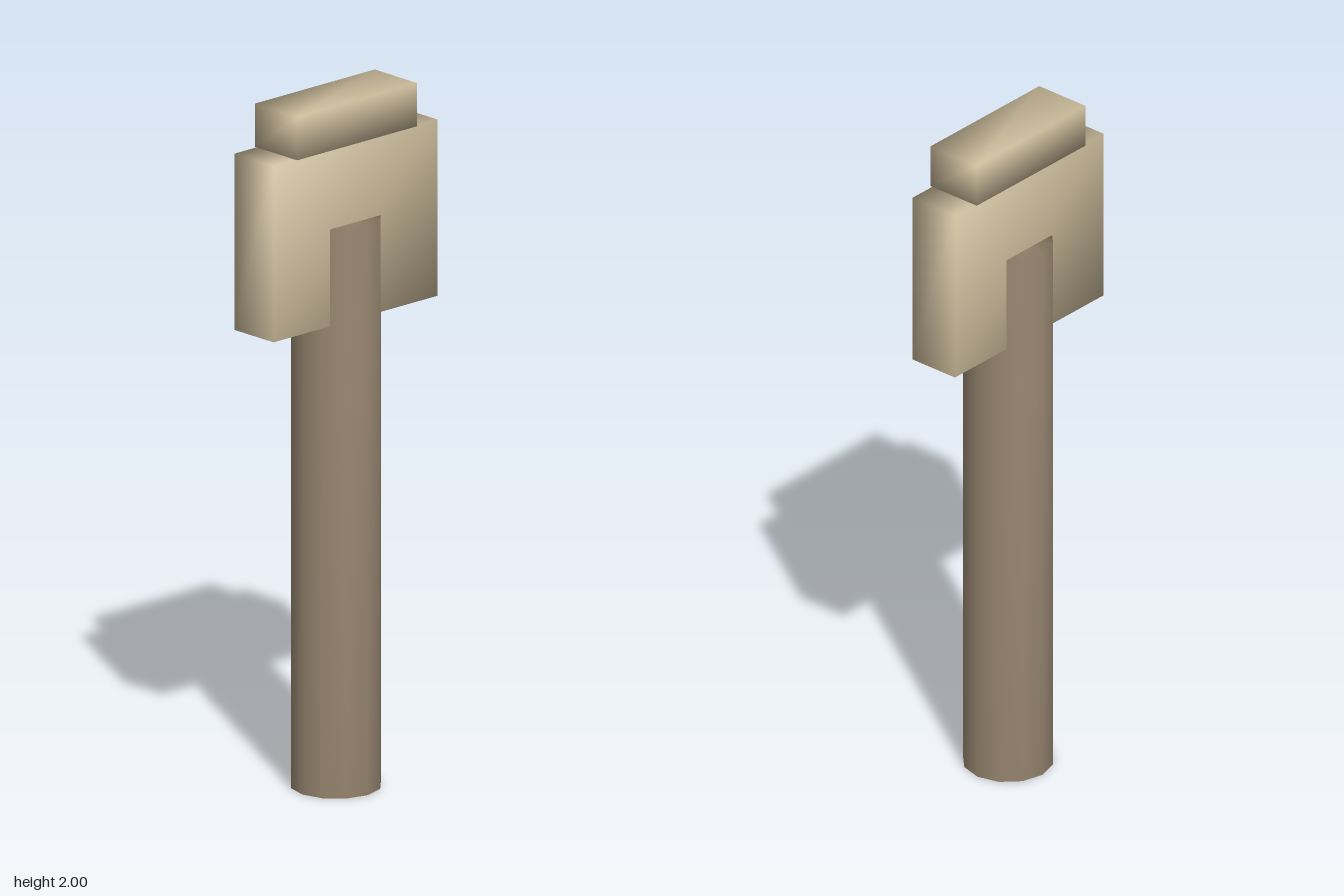
import * as THREE from 'three';
import { mergeVertices } from 'three/addons/utils/BufferGeometryUtils.js';

// Share corner vertices so shading blends softly across the edges.
function soften(geometry) {
  geometry.deleteAttribute('normal');
  geometry.deleteAttribute('uv');
  geometry.clearGroups();
  const merged = mergeVertices(geometry, 1e-4);
  merged.computeVertexNormals();
  return merged;
}

export function createModel() {
  const group = new THREE.Group();
  const paleStone = new THREE.MeshStandardMaterial({ color: 0xc8b898 });
  paleStone.name = 'paleStone';
  const brownWood = new THREE.MeshStandardMaterial({ color: 0x988770 });
  brownWood.name = 'brownWood';

  const add = (name, geometry, material, bottom, height) => {
    const mesh = new THREE.Mesh(soften(geometry), material);
    mesh.name = name;
    mesh.position.y = bottom + height / 2;
    group.add(mesh);
  };

  // Twelve-sided handle, overlapping the lower half of the head
  add('handle', new THREE.CylinderGeometry(0.127, 0.127, 1.645, 12), brownWood, 0, 1.645);
  // Broad flat head
  add('head', new THREE.BoxGeometry(0.62, 0.51, 0.156), paleStone, 1.365, 0.51);
  // Narrower block along the top
  add('topBlock', new THREE.BoxGeometry(0.454, 0.125, 0.17), paleStone, 1.875, 0.125);

  return group;
}
